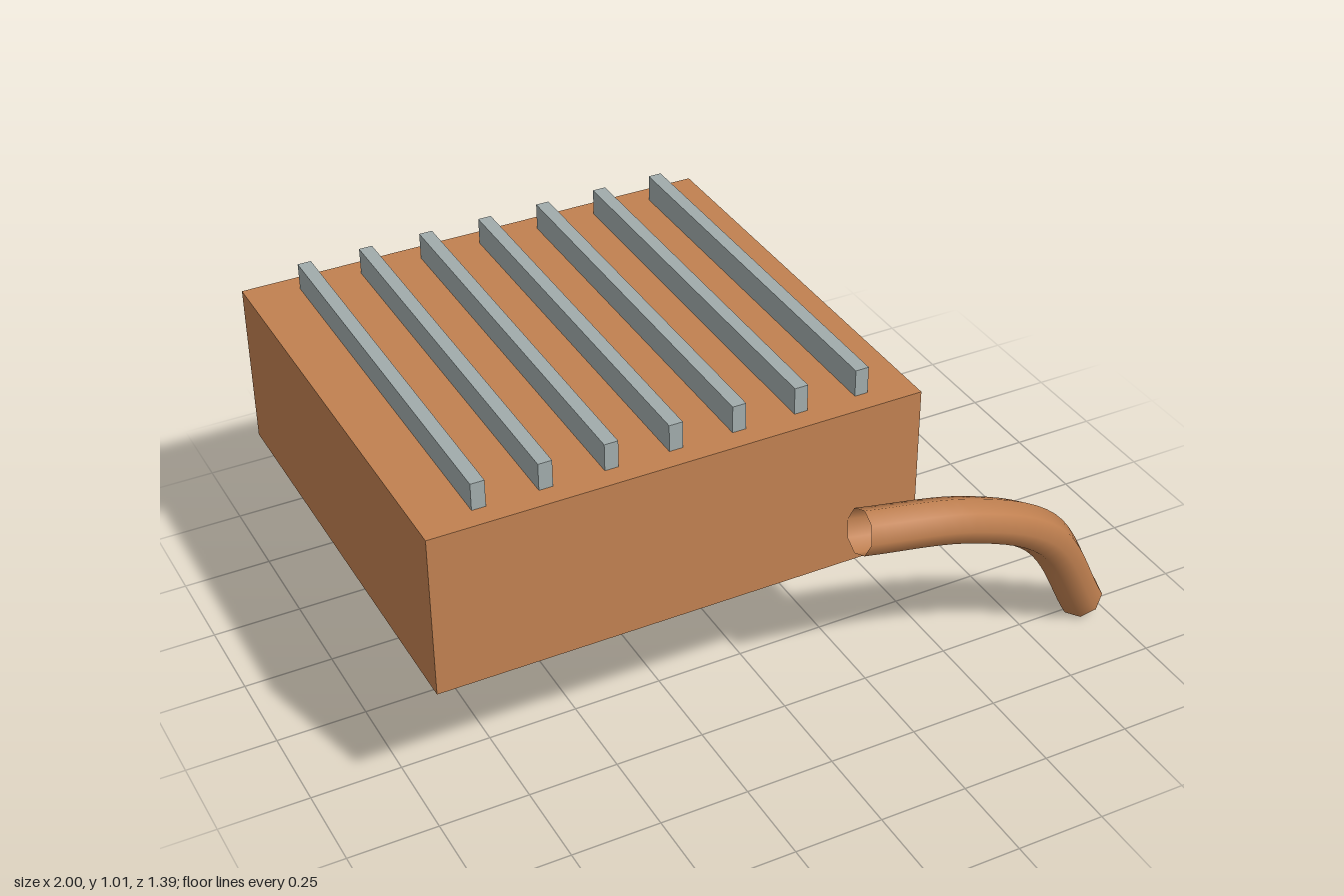
import * as THREE from 'three';

export function createModel() {
  const group = new THREE.Group();
  const copper = new THREE.MeshStandardMaterial({ color: 0xc08050, side: THREE.DoubleSide });
  copper.name = 'copper';
  const steel = new THREE.MeshStandardMaterial({ color: 0xa0abab });
  steel.name = 'steel';

  // Box given by its minimum and maximum corners
  function block(name, min, max, material) {
    const size = max.map((v, i) => v - min[i]);
    const mesh = new THREE.Mesh(new THREE.BoxGeometry(...size), material);
    mesh.position.set(...min.map((v, i) => (v + max[i]) / 2));
    mesh.name = name;
    group.add(mesh);
  }

  // Main body
  block('body', [-1, 0.48, -0.7], [0.34, 0.94, 0.555], copper);

  // Row of fins along the top
  for (let i = 0; i < 7; i++) {
    const x = -0.84 + i * 0.1735;
    block('fin' + (i + 1), [x - 0.0185, 0.94, -0.64], [x + 0.0185, 1.015, 0.495], steel);
  }

  // Open, bent pipe beside the front corner
  const path = new THREE.CatmullRomCurve3([
    new THREE.Vector3(0.135, 0.617, 0.62),
    new THREE.Vector3(0.45, 0.555, 0.63),
    new THREE.Vector3(0.7, 0.42, 0.61),
    new THREE.Vector3(0.945, 0.042, 0.508),
  ]);
  const pipe = new THREE.Mesh(new THREE.TubeGeometry(path, 24, 0.063, 8), copper);
  pipe.name = 'pipe';
  group.add(pipe);

  return group;
}
